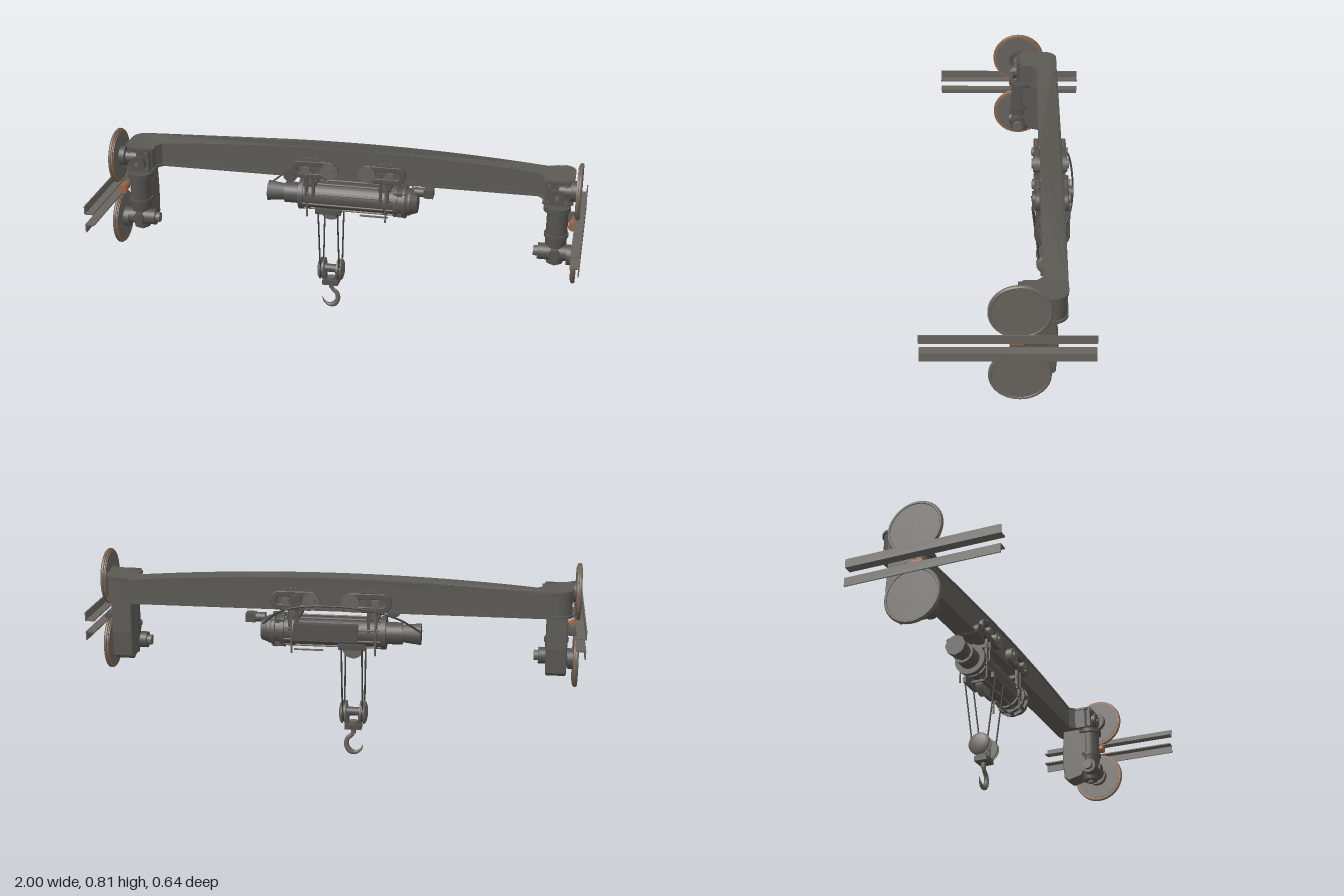
import * as THREE from 'three';

const mat = (name, color, side = THREE.FrontSide) => {
  const m = new THREE.MeshStandardMaterial({ color, side });
  m.name = name;
  return m;
};

export function createModel() {
  const root = new THREE.Group();
  root.name = 'overheadCrane';
  const girderGrey = mat('girderGrey', 0x5b5954);
  const machineGrey = mat('machineGrey', 0x54524e);
  const steel = mat('steel', 0x68645f);
  const copper = mat('copper', 0x9a6443);
  const ropeDark = mat('ropeDark', 0x3f3e3b);

  const group = (name) => {
    const g = new THREE.Group();
    g.name = name;
    root.add(g);
    return g;
  };
  const add = (g, name, geo, m, x = 0, y = 0, z = 0) => {
    const mesh = new THREE.Mesh(geo, m);
    mesh.name = name;
    mesh.position.set(x, y, z);
    g.add(mesh);
    return mesh;
  };
  const box = (g, name, m, x, y, z, w, h, d) => add(g, name, new THREE.BoxGeometry(w, h, d), m, x, y, z);
  // Cylinder along a chosen axis; r2 is the radius at the positive end
  const cyl = (g, name, m, axis, x, y, z, r, len, r2 = r, n = 32) => {
    const geo = new THREE.CylinderGeometry(r2, r, len, n);
    if (axis === 'x') geo.rotateZ(-Math.PI / 2);
    if (axis === 'z') geo.rotateX(Math.PI / 2);
    return add(g, name, geo, m, x, y, z);
  };
  const tube = (g, name, m, pts, r, n = 24) => {
    const curve = new THREE.CatmullRomCurve3(pts.map((p) => new THREE.Vector3(...p)));
    return add(g, name, new THREE.TubeGeometry(curve, n, r, 8), m);
  };

  // Girder: plan outline with turned ends, raised so its top follows an arch
  const arch = (x) => Math.abs(x) > 0.84 ? 0.745 : 0.735 + 0.036 * (1 - (x / 0.84) ** 2);
  const girder = group('girder');
  const layer = (name, grow, low, high) => {
    const xo = 0.945 + grow, xi = 0.83 - grow, back = -0.212 - grow, face = -0.132 + grow, tip = -0.05 + grow;
    const pts = [];
    for (let i = 0; i <= 32; i++) pts.push([-0.89 + 1.78 * i / 32, back]);
    for (let i = 1; i <= 6; i++) {
      const a = i / 6 * Math.PI / 2;
      pts.push([xo - 0.055 + 0.055 * Math.sin(a), back + 0.055 * (1 - Math.cos(a))]);
    }
    pts.push([xo, tip - 0.02], [xo - 0.02, tip], [xi + 0.01, tip], [xi, tip - 0.01], [xi, face + 0.025], [xi - 0.02, face]);
    for (let i = 1; i < 32; i++) pts.push([0.8 - 1.6 * i / 32, face]);
    pts.push([-xi + 0.02, face], [-xi, face + 0.025], [-xi, tip - 0.01], [-xi - 0.01, tip], [-xo + 0.02, tip], [-xo, tip - 0.02]);
    for (let i = 0; i < 6; i++) {
      const a = i / 6 * Math.PI / 2;
      pts.push([-xo + 0.055 - 0.055 * Math.cos(a), back + 0.055 * (1 - Math.sin(a))]);
    }
    const shape = new THREE.Shape(pts.map(([x, z]) => new THREE.Vector2(x, -z)));
    const geo = new THREE.ExtrudeGeometry(shape, { depth: 1, bevelEnabled: false });
    geo.rotateX(-Math.PI / 2);
    const p = geo.attributes.position;
    for (let i = 0; i < p.count; i++) p.setY(i, p.getY(i) > 0.5 ? high(p.getX(i)) : low(p.getX(i)));
    geo.computeVertexNormals();
    add(girder, name, geo, girderGrey);
  };
  layer('girderBody', 0, () => 0.637, (x) => arch(x) - 0.002);
  layer('topFlange', 0.005, (x) => arch(x) - 0.01, arch);
  layer('bottomFlange', 0.005, () => 0.634, () => 0.645);

  // End carriages, one on each side
  for (const s of [1, -1]) {
    const end = group(s > 0 ? 'leftCarriage' : 'rightCarriage');
    // Column hanging below the girder end
    const prof = new THREE.Shape([[0.06, 0.64], [0.172, 0.64], [0.178, 0.5], [0.17, 0.4], [0.15, 0.385], [0.09, 0.4], [0.06, 0.45]]
      .map(([z, y]) => new THREE.Vector2(z, y)));
    const col = new THREE.ExtrudeGeometry(prof, { depth: 0.075, bevelEnabled: true, bevelSize: 0.004, bevelThickness: 0.004, bevelSegments: 1 });
    col.rotateY(Math.PI / 2).translate(-0.0375, 0, 0);
    add(end, 'column', col, girderGrey, s * 0.89, 0, 0);
    // Gearbox face and drive motors
    box(end, 'gearboxPlate', machineGrey, s * 0.885, 0.69, -0.045, 0.095, 0.1, 0.02);
    cyl(end, 'gearboxCover', machineGrey, 'z', s * 0.885, 0.68, -0.028, 0.032, 0.022);
    cyl(end, 'gearboxBolt', steel, 'z', s * 0.885, 0.68, -0.012, 0.01, 0.014, 0.01, 6);
    for (const dx of [-0.036, 0.036]) for (const dy of [-0.036, 0.036])
      cyl(end, 'plateBolt', steel, 'z', s * 0.885 + dx, 0.69 + dy, -0.033, 0.006, 0.01, 0.006, 6);
    cyl(end, 'driveCollar', machineGrey, 'y', s * 0.887, 0.622, -0.055, 0.055, 0.018);
    cyl(end, 'driveMotor', machineGrey, 'y', s * 0.89, 0.56, -0.055, 0.043, 0.12);
    cyl(end, 'driveRing', machineGrey, 'y', s * 0.89, 0.505, -0.055, 0.05, 0.014);
    cyl(end, 'lowerHousing', machineGrey, 'y', s * 0.89, 0.44, -0.055, 0.034, 0.12, 0.046);
    cyl(end, 'lowerMotor', machineGrey, 'x', s * 0.885, 0.43, -0.04, 0.034, 0.13);
    cyl(end, 'lowerMotorCap', steel, 'x', s * 0.815, 0.43, -0.04, 0.021, 0.026);
    cyl(end, 'lowerCover', machineGrey, 'z', s * 0.89, 0.43, -0.01, 0.028, 0.02, 0.022);
    cyl(end, 'drainPlug', steel, 'y', s * 0.89, 0.376, -0.055, 0.014, 0.018, 0.014, 6);
    // Wheels above and below the rails
    for (const y of [0.705, 0.421]) {
      const disc = [[0, -0.006], [0.111, -0.006], [0.1155, -0.003], [0.1155, 0.003], [0.111, 0.008], [0.104, 0.008], [0.102, 0.006], [0, 0.006]]
        .map(([r, h]) => new THREE.Vector2(r, h));
      const wheel = add(end, 'wheel', new THREE.LatheGeometry(disc, 56).toNonIndexed(), steel, s * 0.972, y, -0.043);
      wheel.geometry.computeVertexNormals();
      wheel.rotation.z = -s * Math.PI / 2;
      cyl(end, 'wheelRim', copper, 'x', s * 0.965, y, -0.043, 0.112, 0.004, 0.112, 56);
      cyl(end, 'wheelWeb', steel, 'x', s * 0.963, y, -0.043, 0.103, 0.006, 0.103, 48);
      cyl(end, 'wheelHub', machineGrey, 'x', s * 0.95, y, -0.043, 0.042, 0.025);
      cyl(end, 'axle', steel, 'x', s * 0.925, y, -0.043, 0.022, 0.07);
    }
    // Guide roller between the rails
    cyl(end, 'guideRoller', copper, 'z', s * 0.955, 0.561, -0.032, 0.018, 0.046);
    cyl(end, 'rollerPin', steel, 'z', s * 0.955, 0.561, -0.075, 0.011, 0.05);
    box(end, 'rollerArm', machineGrey, s * 0.945, 0.559, -0.115, 0.05, 0.018, 0.07);
    // Angle rails
    for (const [y, edge] of [[0.6025, 0.587], [0.5225, 0.538]]) {
      box(end, 'railWeb', steel, s * 0.9975, y, 0, 0.005, 0.036, 0.638);
      box(end, 'railFlange', steel, s * 0.98, edge, 0, 0.036, 0.005, 0.638);
    }
  }

  // Hoist drum and motors
  const hoist = group('hoist');
  const hy = 0.54, hz = -0.175;
  cyl(hoist, 'drum', machineGrey, 'x', 0.03, hy, hz, 0.058, 0.48);
  for (const [x, r, w] of [[-0.2, 0.068, 0.02], [-0.17, 0.066, 0.012], [0.165, 0.066, 0.012], [0.21, 0.07, 0.016], [0.245, 0.072, 0.012]])
    cyl(hoist, 'drumRing', machineGrey, 'x', x, hy, hz, r, w);
  cyl(hoist, 'gearCase', machineGrey, 'x', 0.275, hy, hz, 0.062, 0.05, 0.045);
  cyl(hoist, 'brakeMotor', machineGrey, 'x', -0.24, hy, hz, 0.045, 0.07);
  cyl(hoist, 'brakeCap', machineGrey, 'x', -0.31, hy, hz, 0.046, 0.08, 0.036, 8);
  cyl(hoist, 'sideMotor', machineGrey, 'x', 0.31, 0.588, hz, 0.02, 0.05);
  box(hoist, 'sideMotorBox', machineGrey, 0.345, 0.588, hz, 0.04, 0.036, 0.045);
  box(hoist, 'controlBox', machineGrey, 0.03, 0.55, hz - 0.06, 0.26, 0.07, 0.03);
  for (let i = 0; i < 8; i++) {
    const a = i / 8 * Math.PI * 2;
    box(hoist, 'drumRib', machineGrey, 0.228, hy + 0.066 * Math.cos(a), hz + 0.066 * Math.sin(a), 0.05, 0.012, 0.012);
    cyl(hoist, 'tieRod', steel, 'x', 0.0, hy + 0.062 * Math.cos(a + 0.39), hz + 0.062 * Math.sin(a + 0.39), 0.004, 0.41, 0.004, 8);
  }
  cyl(hoist, 'guideSheave', steel, 'z', -0.075, 0.475, hz, 0.044, 0.03);
  box(hoist, 'sheaveBracket', machineGrey, -0.075, 0.49, hz, 0.1, 0.035, 0.06);
  box(hoist, 'limitBar', steel, 0.11, 0.456, hz, 0.12, 0.004, 0.012);
  tube(hoist, 'backCable', ropeDark, [[-0.35, 0.56, -0.215], [-0.26, 0.62, -0.245], [-0.1, 0.66, -0.258], [0.12, 0.66, -0.258], [0.22, 0.63, -0.245], [0.29, 0.57, -0.21]], 0.004, 40);

  // Trolley clamps on both faces of the girder
  const trolley = group('trolley');
  for (const [cx, dir] of [[-0.15, 1], [0.17, -1]]) {
    for (const [face, out] of [[-0.128, 1], [-0.216, -1]]) {
      const z = face + out * 0.012;
      const loop = new THREE.Shape().absarc(0.06, 0, 0.036, -Math.PI / 2, Math.PI / 2).absarc(-0.06, 0, 0.036, Math.PI / 2, Math.PI * 1.5);
      loop.holes.push(new THREE.Path().absarc(0.06, 0, 0.019, -Math.PI / 2, Math.PI / 2).absarc(-0.06, 0, 0.019, Math.PI / 2, Math.PI * 1.5));
      add(trolley, 'clampLoop', new THREE.ExtrudeGeometry(loop, { depth: 0.014, bevelSize: 0.004, bevelThickness: 0.004, bevelSegments: 2 }), machineGrey, cx + dir * 0.015, 0.678, z - 0.007);
      cyl(trolley, 'trolleyWheel', steel, 'z', cx + dir * 0.08, 0.678, z, 0.036, 0.028);
      cyl(trolley, 'wheelCap', steel, 'z', cx + dir * 0.08, 0.678, z + out * 0.016, 0.02, 0.012);
      cyl(trolley, 'pivot', steel, 'z', cx - dir * 0.02, 0.675, z + out * 0.006, 0.018, 0.03);
      box(trolley, 'clampBridge', machineGrey, cx, 0.715, z, 0.07, 0.012, 0.02);
      for (const dx of [-0.02, 0, 0.02]) cyl(trolley, 'clampBolt', steel, 'y', cx + dx, 0.715, z, 0.006, 0.03, 0.006, 6);
      // Hangers down to the drum
      for (const dx of [-0.022, 0.008]) box(trolley, 'hanger', machineGrey, cx + dx, 0.615, z, 0.012, 0.13, 0.012);
    }
    box(trolley, 'hangerSaddle', machineGrey, cx - 0.007, 0.605, -0.172, 0.05, 0.016, 0.115);
  }
  cyl(trolley, 'travelMotor', machineGrey, 'z', -0.24, 0.645, -0.16, 0.03, 0.1);
  cyl(trolley, 'rearMotor', machineGrey, 'z', 0.15, 0.68, -0.24, 0.026, 0.035);
  for (const x of [-0.17, 0.17]) for (const z of [-0.115, -0.237])
    cyl(trolley, 'stayRod', steel, 'y', x, 0.565, z, 0.004, 0.21, 0.004, 8);

  // Ropes
  const ropes = group('ropes');
  const rz = -0.167;
  for (const x of [-0.117, -0.033]) {
    tube(ropes, 'backRope', ropeDark, [[x, 0.49, -0.24], [x, 0.2, rz - 0.034]], 0.0035, 1);
    tube(ropes, 'frontRope', ropeDark, [[x, 0.49, -0.098], [x, 0.2, rz + 0.034]], 0.0035, 1);
  }
  box(ropes, 'ropeAnchor', machineGrey, -0.075, 0.492, -0.235, 0.11, 0.024, 0.014);
  box(ropes, 'ropeGuide', machineGrey, -0.075, 0.492, -0.106, 0.11, 0.024, 0.014);

  // Hook block with domed sheaves
  const block = group('hookBlock');
  for (const s of [1, -1]) {
    const x = -0.075 + s * 0.04;
    cyl(block, 'sheaveGroove', ropeDark, 'x', x, 0.192, rz, 0.04, 0.014);
    cyl(block, 'sheaveCheek', steel, 'x', x - s * 0.009, 0.192, rz, 0.048, 0.006);
    const dome = new THREE.SphereGeometry(0.048, 32, 8, 0, Math.PI * 2, 0, Math.PI / 2).scale(1, 0.3, 1);
    const d = add(block, 'sheaveDome', dome, steel, x + s * 0.005, 0.192, rz);
    d.rotation.z = -s * Math.PI / 2;
    cyl(block, 'sheaveBackPlate', steel, 'x', x + s * 0.005, 0.192, rz, 0.048, 0.004);
    box(block, 'blockCheek', machineGrey, -0.075 + s * 0.024, 0.167, rz, 0.008, 0.06, 0.034);
  }
  cyl(block, 'blockPin', machineGrey, 'x', -0.075, 0.195, rz, 0.018, 0.08);
  box(block, 'blockYoke', machineGrey, -0.075, 0.134, rz, 0.07, 0.022, 0.056);
  cyl(block, 'hookNut', steel, 'y', -0.075, 0.148, rz, 0.02, 0.012, 0.02, 6);
  cyl(block, 'hookShank', steel, 'y', -0.075, 0.115, rz, 0.01, 0.03);
  // Hook: swept curve that thickens at the bowl and narrows to the tip
  const path = new THREE.CatmullRomCurve3([[-0.075, 0.112], [-0.07, 0.094], [-0.05, 0.074], [-0.046, 0.046], [-0.06, 0.021], [-0.084, 0.015], [-0.106, 0.028], [-0.115, 0.05]]
    .map(([x, y]) => new THREE.Vector3(x, y, rz)));
  const hook = new THREE.TubeGeometry(path, 36, 1, 10);
  const hp = hook.attributes.position;
  for (let i = 0; i < hp.count; i++) {
    const t = Math.floor(i / 11) / 36, c = path.getPointAt(t);
    const r = t < 0.6 ? 0.008 + 0.004 * (t / 0.6) : 0.012 - 0.011 * ((t - 0.6) / 0.4);
    hp.setXYZ(i, c.x + (hp.getX(i) - c.x) * r, c.y + (hp.getY(i) - c.y) * r, c.z + (hp.getZ(i) - c.z) * r);
  }
  hook.computeVertexNormals();
  add(block, 'hook', hook, steel);

  return root;
}
